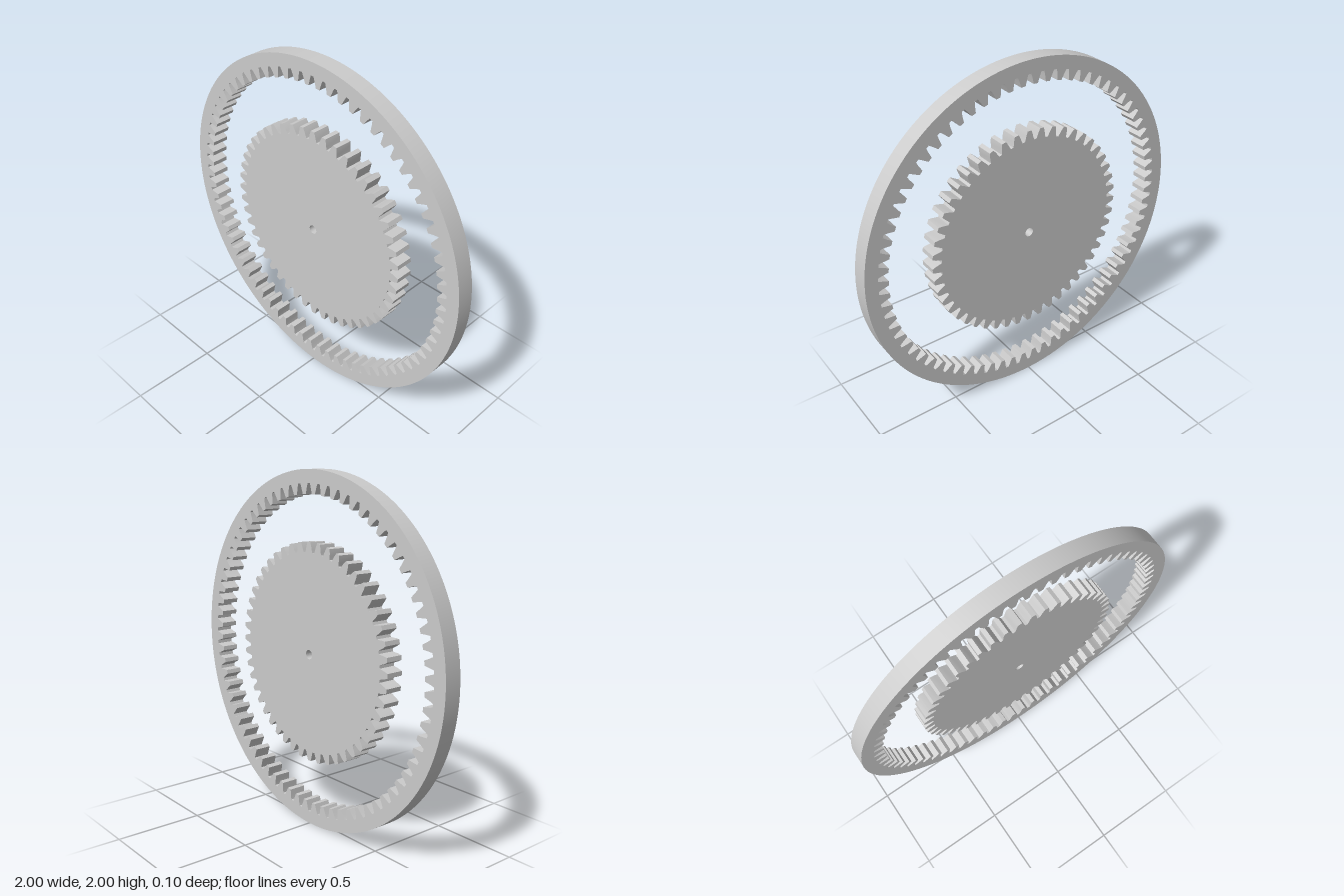
import * as THREE from 'three';
import { toCreasedNormals } from 'three/addons/utils/BufferGeometryUtils.js';

const THICKNESS = 0.1;

// Closed toothed outline: one [radius, half width] profile, root to tip, mirrored about each tooth
function toothOutline(count, profile) {
  const points = [];
  for (let i = 0; i < count; i++) {
    const centre = (i / count) * Math.PI * 2;
    const add = (r, w) => {
      const a = centre + w / r;
      points.push(new THREE.Vector2(Math.cos(a) * r, Math.sin(a) * r));
    };
    profile.forEach(([r, w]) => add(r, -w));
    [...profile].reverse().forEach(([r, w]) => add(r, w));
  }
  return points;
}

function circle(radius, segments) {
  return Array.from({ length: segments }, (_, i) => {
    const a = (i / segments) * Math.PI * 2;
    return new THREE.Vector2(Math.cos(a) * radius, Math.sin(a) * radius);
  });
}

// Flat plate with one hole, centred on z = 0
function plate(name, outline, hole, material) {
  const shape = new THREE.Shape(outline);
  shape.holes.push(new THREE.Path(hole));
  const geometry = new THREE.ExtrudeGeometry(shape, { depth: THICKNESS, bevelEnabled: false });
  geometry.translate(0, 0, -THICKNESS / 2);
  const mesh = new THREE.Mesh(toCreasedNormals(geometry, 0.3), material);
  mesh.name = name;
  mesh.position.y = 1;
  return mesh;
}

export function createModel() {
  const group = new THREE.Group();
  group.name = 'ringGearSet';
  const material = new THREE.MeshStandardMaterial({ color: 0xcccccc });

  // Inner gear: 48 teeth pointing outward, small axle hole
  const gearTeeth = toothOutline(48, [
    [0.563, 0.029], [0.577, 0.0245], [0.598, 0.0195], [0.618, 0.012],
  ]);
  group.add(plate('innerGear', gearTeeth, circle(0.026, 32), material));

  // Outer ring: smooth rim, 72 tooth gaps cut into the inside
  const ringGaps = toothOutline(72, [
    [0.869, 0.0255], [0.888, 0.0205], [0.908, 0.0155], [0.927, 0.009],
  ]);
  group.add(plate('outerRing', circle(1, 180), ringGaps, material));

  return group;
}
